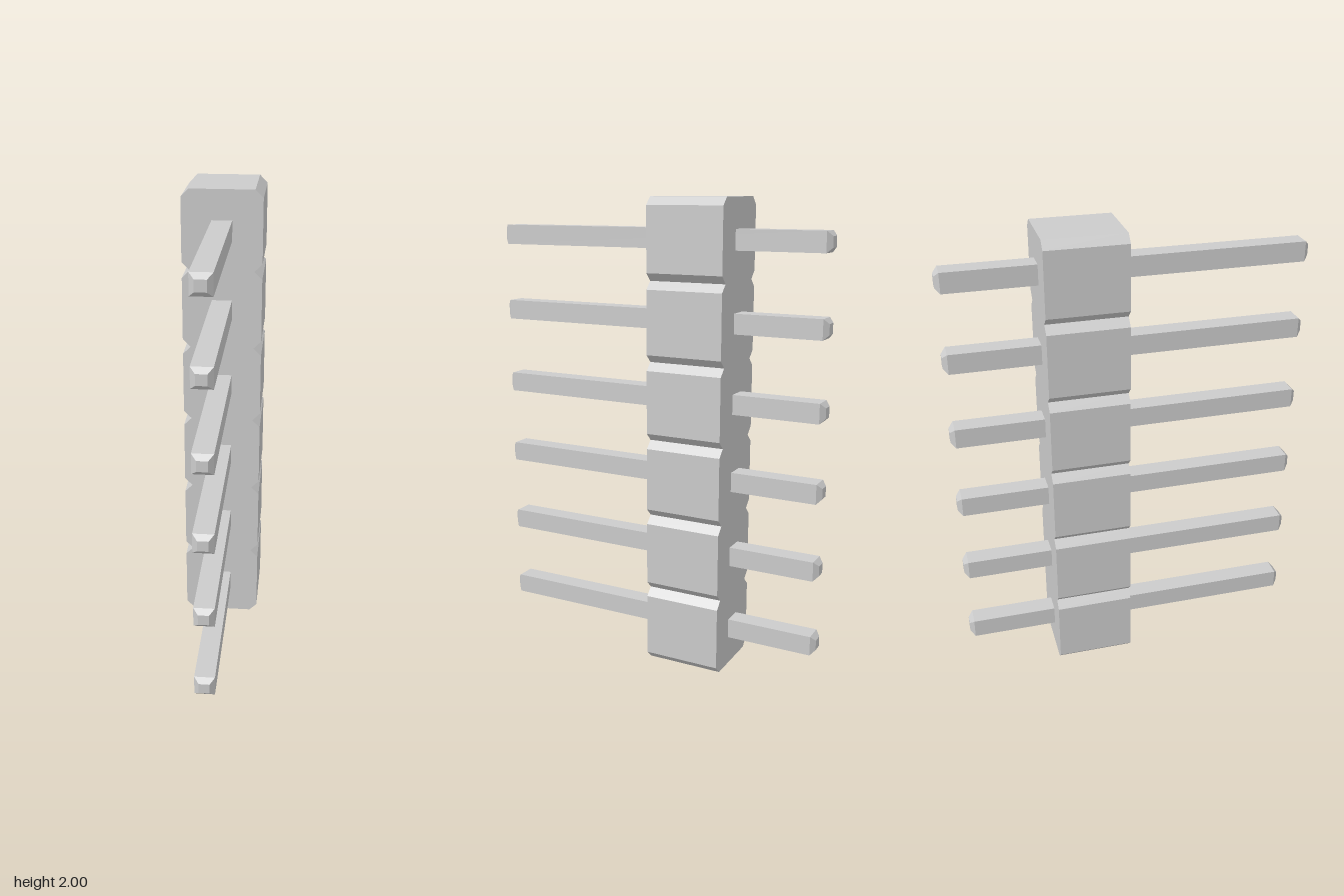
import * as THREE from 'three';

const COUNT = 6;
const PITCH = 2 / COUNT;
const HALF = PITCH / 2;      // half width of the housing
const CHAMFER = 0.033;       // corner cut of each housing cell
const BACK = -0.363, FRONT = -0.03;

// Housing outline: a stack of chamfered square cells
function housingGeometry() {
  const right = [];
  for (let i = 0; i < COUNT; i++) {
    const y0 = i * PITCH, y1 = y0 + PITCH;
    if (i === 0) right.push([HALF - CHAMFER, y0]);
    right.push([HALF, y0 + CHAMFER], [HALF, y1 - CHAMFER], [HALF - CHAMFER, y1]);
  }
  const left = right.map(([x, y]) => [-x, y]).reverse();
  const shape = new THREE.Shape([...right, ...left].map(([x, y]) => new THREE.Vector2(x, y)));
  const geo = new THREE.ExtrudeGeometry(shape, { depth: FRONT - BACK, bevelEnabled: false });
  return geo.translate(0, 0, BACK);
}

// Square pin running along z, with both tips tapered
function pinGeometry() {
  const length = 1.51, taper = 0.02, tip = 0.022;
  const shape = new THREE.Shape([[-tip, -tip], [tip, -tip], [tip, tip], [-tip, tip]]
    .map(([x, y]) => new THREE.Vector2(x, y)));
  const depth = length - 2 * taper;
  const geo = new THREE.ExtrudeGeometry(shape, {
    depth, bevelEnabled: true, bevelThickness: taper, bevelSize: 0.02, bevelSegments: 1,
  });
  return geo.translate(0, 0, -depth / 2);
}

export function createModel() {
  const group = new THREE.Group();
  group.name = 'pinHeader';
  const material = new THREE.MeshStandardMaterial({ color: 0xcccccc, flatShading: true });

  const housing = new THREE.Mesh(housingGeometry(), material);
  housing.name = 'housing';
  group.add(housing);

  // One pin through the centre of each cell
  const pinGeo = pinGeometry();
  for (let i = 0; i < COUNT; i++) {
    const pin = new THREE.Mesh(pinGeo, material);
    pin.name = `pin${i + 1}`;
    pin.position.y = (i + 0.5) * PITCH;
    group.add(pin);
  }
  return group;
}
